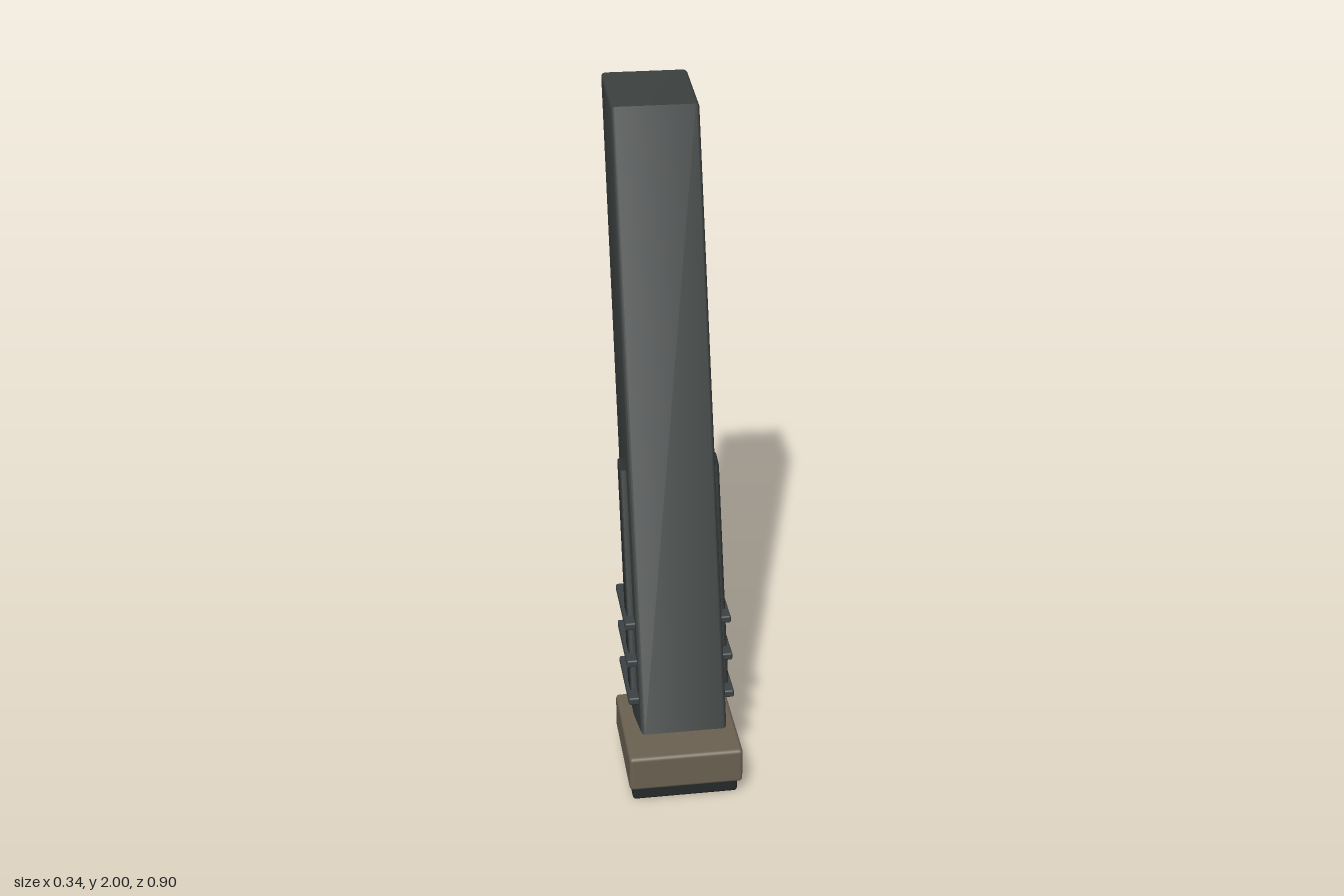
import * as THREE from 'three';
import { RoundedBoxGeometry } from 'three/addons/geometries/RoundedBoxGeometry.js';
import { toCreasedNormals } from 'three/addons/utils/BufferGeometryUtils.js';

const material = (color) => new THREE.MeshStandardMaterial({ color });

// Extrudes a side profile of [z, y] points across x, with softened side edges.
function sideExtrude(profile, x0, x1, bevel) {
  const shape = new THREE.Shape(profile.map(([z, y]) => new THREE.Vector2(-z, y)));
  const geometry = new THREE.ExtrudeGeometry(shape, {
    depth: x1 - x0 - 2 * bevel,
    bevelThickness: bevel,
    bevelSize: bevel,
    bevelOffset: -bevel,
    bevelSegments: 3,
  });
  geometry.translate(0, 0, x0 + bevel);
  geometry.rotateY(Math.PI / 2);
  return toCreasedNormals(geometry, 0.6);
}

export function createModel() {
  const model = new THREE.Group();
  const bodyMat = material(0x3a3f3e);
  const stripMat = material(0x2a2e2e);
  const ribMat = material(0x3c4244);
  const plateMat = material(0x6b6152);
  const padMat = material(0x262929);

  function add(name, geometry, mat, x = 0, y = 0, z = 0) {
    const mesh = new THREE.Mesh(geometry, mat);
    mesh.name = name;
    mesh.position.set(x, y, z);
    model.add(mesh);
  }

  // Slanted main body
  const bodyProfile = [[0.4, 0.215], [0.142, 0.127], [-0.452, 2], [-0.21, 1.965]];
  add('body', sideExtrude(bodyProfile, -0.13, 0.13, 0.012), bodyMat);

  // Base plate and the pad beneath it
  add('basePlate', new RoundedBoxGeometry(0.344, 0.115, 0.355, 3, 0.012), plateMat, 0, 0.107, 0.274);
  add('basePad', new RoundedBoxGeometry(0.32, 0.08, 0.305, 3, 0.01), padMat, 0, 0.04, 0.277);

  // Raised strip and three grip ribs on each side
  const stripProfile = [[0.308, 0.298], [0.25, 0.28], [0.026, 0.957], [0.084, 0.945]];
  const ribs = [[0.3, 0.228], [0.408, 0.19], [0.516, 0.153]];
  for (const [label, side] of [['left', 1], ['right', -1]]) {
    const [x0, x1] = side > 0 ? [0.11, 0.15] : [-0.15, -0.11];
    add(label + 'Strip', sideExtrude(stripProfile, x0, x1, 0.006), stripMat);
    ribs.forEach(([y, z], i) => {
      add(label + 'Rib' + (i + 1), new RoundedBoxGeometry(0.04, 0.024, 0.24, 3, 0.006), ribMat, side * 0.14, y, z);
    });
  }
  return model;
}
